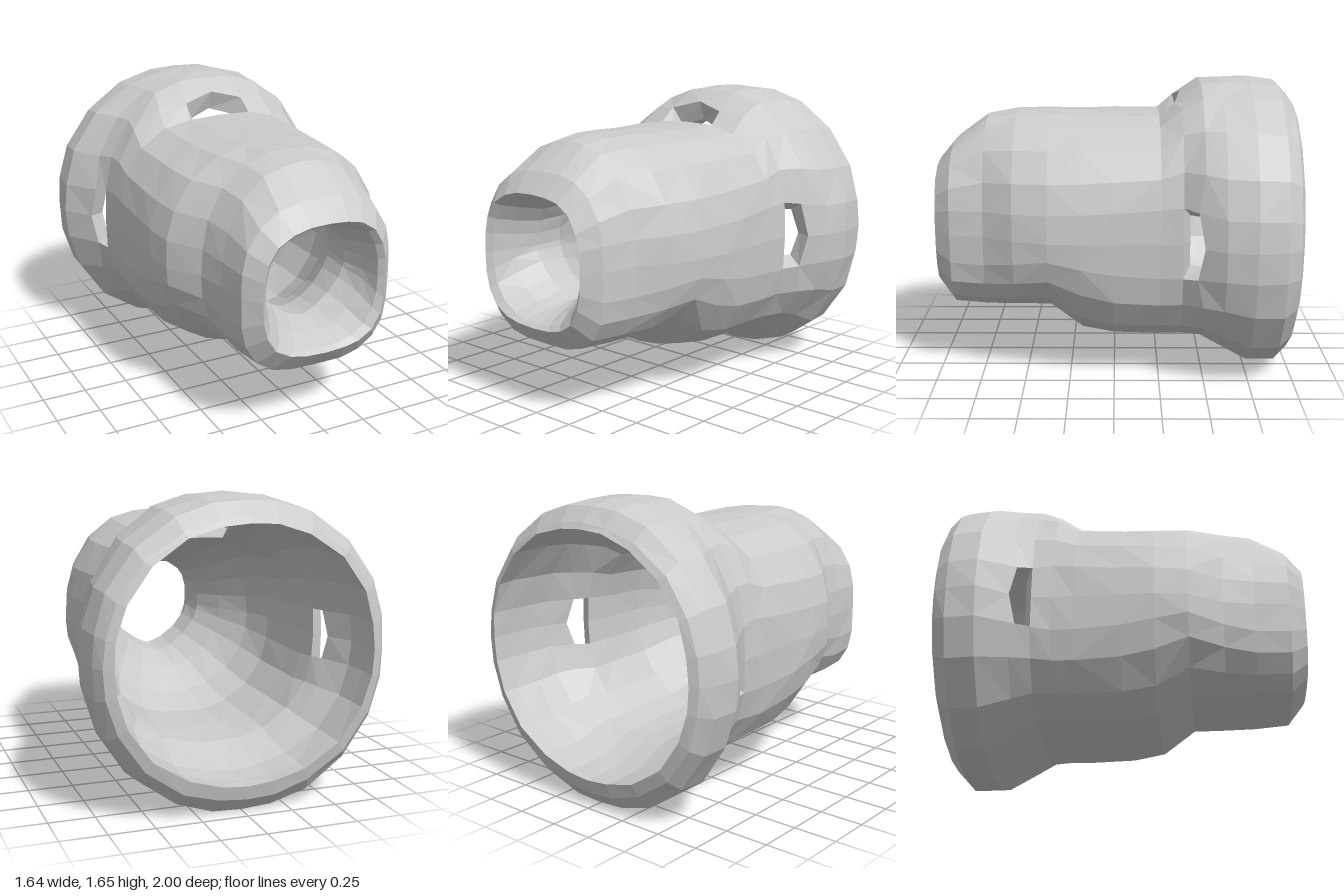
import * as THREE from 'three';

const SEG = 24;
const AXIS_Y = 0.83;

// Cross-sections, front to back: [z, right x, left x, bottom, top, top squareness, bottom squareness]
const OUTER = [
  [1.0, 0.38, 0.35, 0.47, 1.19, 2.8, 3],
  [0.91, 0.46, 0.43, 0.36, 1.3, 2.7, 3.2],
  [0.72, 0.48, 0.47, 0.355, 1.44, 2.3, 3.2],
  [0.55, 0.51, 0.58, 0.35, 1.465, 2.35, 2.6],
  [0.36, 0.63, 0.63, 0.34, 1.465, 2.4, 2.2],
  [0.18, 0.65, 0.64, 0.2, 1.46, 2.5, 2.3],
  [0.0, 0.65, 0.64, 0.175, 1.46, 2.6, 2.6],
  [-0.25, 0.65, 0.63, 0.18, 1.46, 2.8, 2.8],
  [-0.37, 0.65, 0.64, 0.185, 1.57, 2.6, 2.8],
  [-0.48, 0.66, 0.73, 0.18, 1.64, 2.3, 2.6],
  [-0.59, 0.71, 0.79, 0.11, 1.65, 2.15, 2.3],
  [-0.75, 0.82, 0.82, 0.0, 1.65, 2.15, 2.15],
  [-0.91, 0.81, 0.8, 0.0, 1.63, 2.15, 2.15],
  [-0.98, 0.76, 0.76, 0.08, 1.55, 2.15, 2.15],
];
const INNER = [
  [0.97, 0.35, 0.32, 0.49, 1.17, 2.8, 2.6],
  [0.86, 0.31, 0.3, 0.53, 1.15, 2.5, 1.9],
  [0.72, 0.28, 0.27, 0.57, 1.12, 2.4, 1.5],
  [0.54, 0.28, 0.28, 0.55, 1.13, 2.4, 1.6],
  [0.37, 0.37, 0.37, 0.48, 1.2, 2.3, 1.9],
  [0.19, 0.48, 0.48, 0.36, 1.29, 2.3, 2.1],
  [0.0, 0.54, 0.54, 0.29, 1.35, 2.4, 2.3],
  [-0.27, 0.56, 0.55, 0.28, 1.37, 2.4, 2.4],
  [-0.41, 0.57, 0.56, 0.27, 1.46, 2.3, 2.4],
  [-0.52, 0.59, 0.63, 0.26, 1.5, 2.2, 2.3],
  [-0.62, 0.63, 0.68, 0.22, 1.53, 2.15, 2.2],
  [-0.76, 0.7, 0.7, 0.17, 1.53, 2.15, 2.15],
  [-0.9, 0.71, 0.71, 0.16, 1.53, 2.15, 2.15],
  [-1.0, 0.71, 0.71, 0.16, 1.52, 2.15, 2.15],
];

// Vents in the step before the flared collar: band of rows and centre segment
const VENTS = [
  { row: 7, mid: 6 },
  { row: 8, mid: 0 },
  { row: 9, mid: 12 },
];

const wrap = (j) => (j + SEG) % SEG;

// One rounded-square loop of points, slightly uneven like a hand-shaped surface
function ringPoints([z, right, left, bottom, top, eTop, eBottom], i) {
  const pts = [];
  for (let j = 0; j < SEG; j++) {
    const t = (j / SEG) * Math.PI * 2;
    const a = t - 0.09 * Math.sin(4 * t); // closer together beside the vents
    const c = Math.cos(a), s = Math.sin(a);
    const p = 2 / (s >= 0 ? eTop : eBottom);
    const k = 1 - 0.004 * (1 + Math.sin(i * 2.3 + j * 4.1));
    const x = Math.sign(c) * Math.abs(c) ** p * (c >= 0 ? left : right) * k;
    const y = AXIS_Y + Math.abs(s) ** p * ((s >= 0 ? top : bottom) - AXIS_Y) * k;
    pts.push(x, y, z);
  }
  return pts;
}

function shellGeometry() {
  // Outer skin front to back, then inner skin back to front, closing on itself
  const rings = [...OUTER, ...INNER.slice().reverse()];
  const R = rings.length;
  const positions = rings.flatMap(ringPoints);
  const id = (i, j) => (i % R) * SEG + wrap(j);
  const index = [];
  const quad = (a, b, c, d, flip) =>
    flip ? index.push(a, b, d, b, c, d) : index.push(a, b, c, a, c, d);

  // Pinch the corners of each vent together into a lens shape
  const pinch = (i, j, target) => {
    const a = id(i, j) * 3, b = id(target, j) * 3;
    for (let n = 0; n < 3; n++) positions[a + n] += (positions[b + n] - positions[a + n]) * 0.3;
  };
  for (const { row, mid } of VENTS) {
    for (const j of [mid - 1, mid + 1]) {
      pinch(row + 1, j, row);
      pinch(R - 2 - row, j, R - 1 - row);
    }
  }

  const isVent = (i, j) => {
    const row = i < OUTER.length ? i : R - 2 - i;
    return VENTS.some((v) => v.row === row && (j === wrap(v.mid - 1) || j === v.mid));
  };
  for (let i = 0; i < R; i++) {
    for (let j = 0; j < SEG; j++) {
      if (isVent(i, j)) continue;
      quad(id(i, j), id(i + 1, j), id(i + 1, j + 1), id(i, j + 1), (i * 3 + j * 5) % 4 < 2);
    }
  }

  // Walls of each vent, joining the outer skin to the inner one
  for (const { row, mid } of VENTS) {
    const loop = [
      [row, mid - 1], [row + 1, mid - 1], [row + 1, mid],
      [row + 1, mid + 1], [row, mid + 1], [row, mid],
    ];
    loop.forEach(([i, j], n) => {
      const [i2, j2] = loop[(n + 1) % loop.length];
      quad(id(i, j), id(i2, j2), id(R - 1 - i2, j2), id(R - 1 - i, j));
    });
  }

  const geometry = new THREE.BufferGeometry();
  geometry.setAttribute('position', new THREE.Float32BufferAttribute(positions, 3));
  geometry.setIndex(index);
  geometry.computeVertexNormals();
  return geometry;
}

export function createModel() {
  const group = new THREE.Group();
  group.name = 'ventedSleeve';
  const material = new THREE.MeshStandardMaterial({ color: 0xcccccc, flatShading: true });
  const shell = new THREE.Mesh(shellGeometry(), material);
  shell.name = 'hollowShell';
  group.add(shell);
  return group;
}
